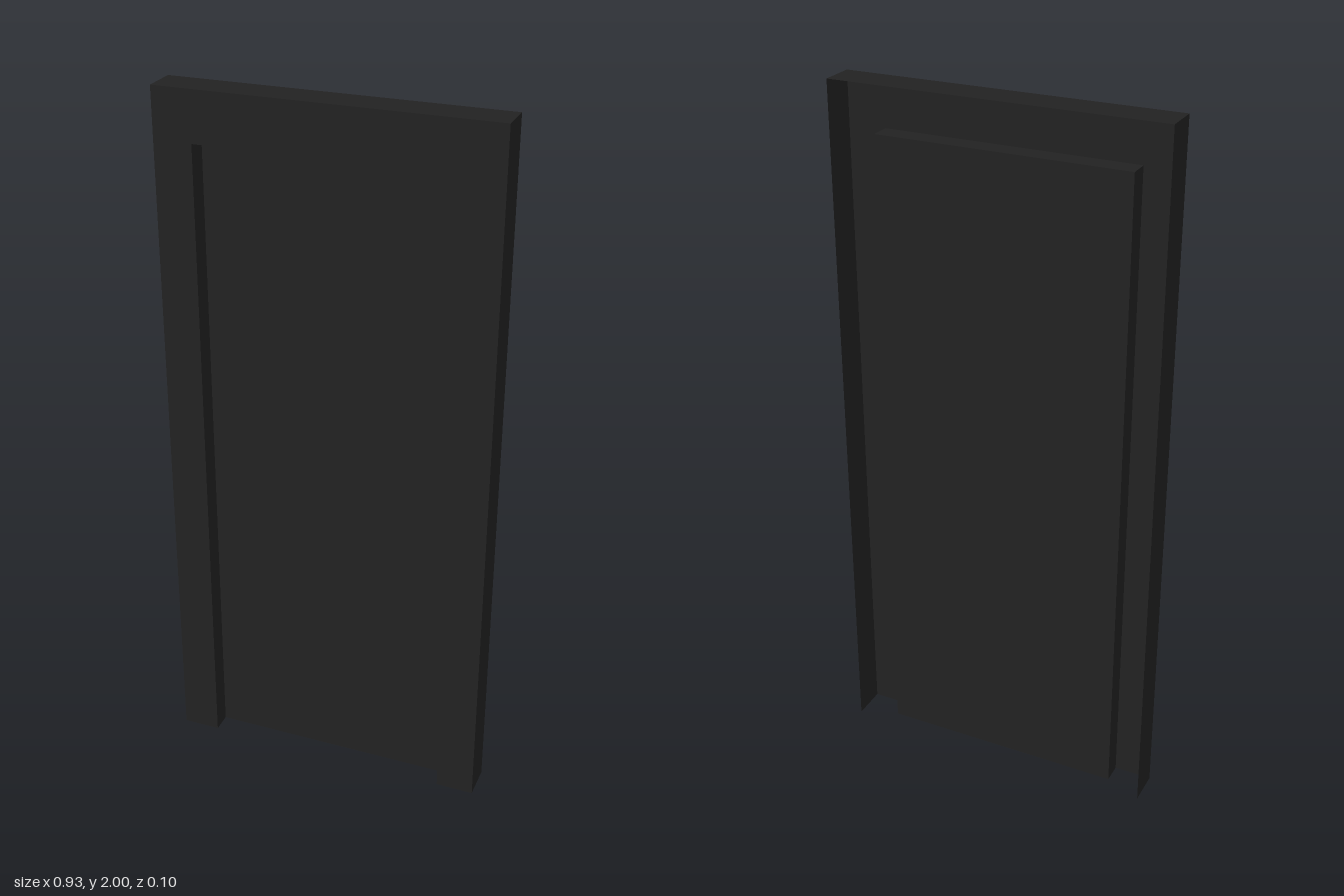
import * as THREE from 'three';

// Hollow door: thin sheets forming a casing, a recessed panel and an open back
export function createModel() {
  const group = new THREE.Group();
  group.name = 'door';
  const charcoal = new THREE.MeshStandardMaterial({ color: 0x222222, side: THREE.DoubleSide });
  charcoal.name = 'charcoal';

  const W = 0.465, H = 2, front = 0.05, back = -0.05; // outer casing
  const w = 0.357, h = 1.86, inset = -0.008; // recessed panel

  const add = (name, geometry, x, y, z) => {
    const mesh = new THREE.Mesh(geometry, charcoal);
    mesh.name = name;
    mesh.position.set(x, y, z);
    group.add(mesh);
  };

  // Front casing: an upside-down U around the opening
  const casing = new THREE.Shape([
    [-W, 0], [-w, 0], [-w, h], [w, h], [w, 0], [W, 0], [W, H], [-W, H],
  ].map(([x, y]) => new THREE.Vector2(x, y)));
  add('frontCasing', new THREE.ShapeGeometry(casing), 0, 0, front);

  // Door panel set back inside the opening
  add('doorPanel', new THREE.PlaneGeometry(2 * w, h), 0, h / 2, inset);

  // Side sheets and top sheet running back from the casing face
  const addSurround = (name, halfWidth, height, rear, facing) => {
    const depth = front - rear, z = (front + rear) / 2;
    for (const side of [-1, 1]) {
      const sheet = new THREE.PlaneGeometry(depth, height).rotateY(side * facing * Math.PI / 2);
      add(name + (side > 0 ? 'Left' : 'Right'), sheet, side * halfWidth, height / 2, z);
    }
    const top = new THREE.PlaneGeometry(2 * halfWidth, depth).rotateX(-facing * Math.PI / 2);
    add(name + 'Top', top, 0, height, z);
  };
  addSurround('outerFrame', W, H, back, 1);
  addSurround('reveal', w, h, inset, -1);

  return group;
}
